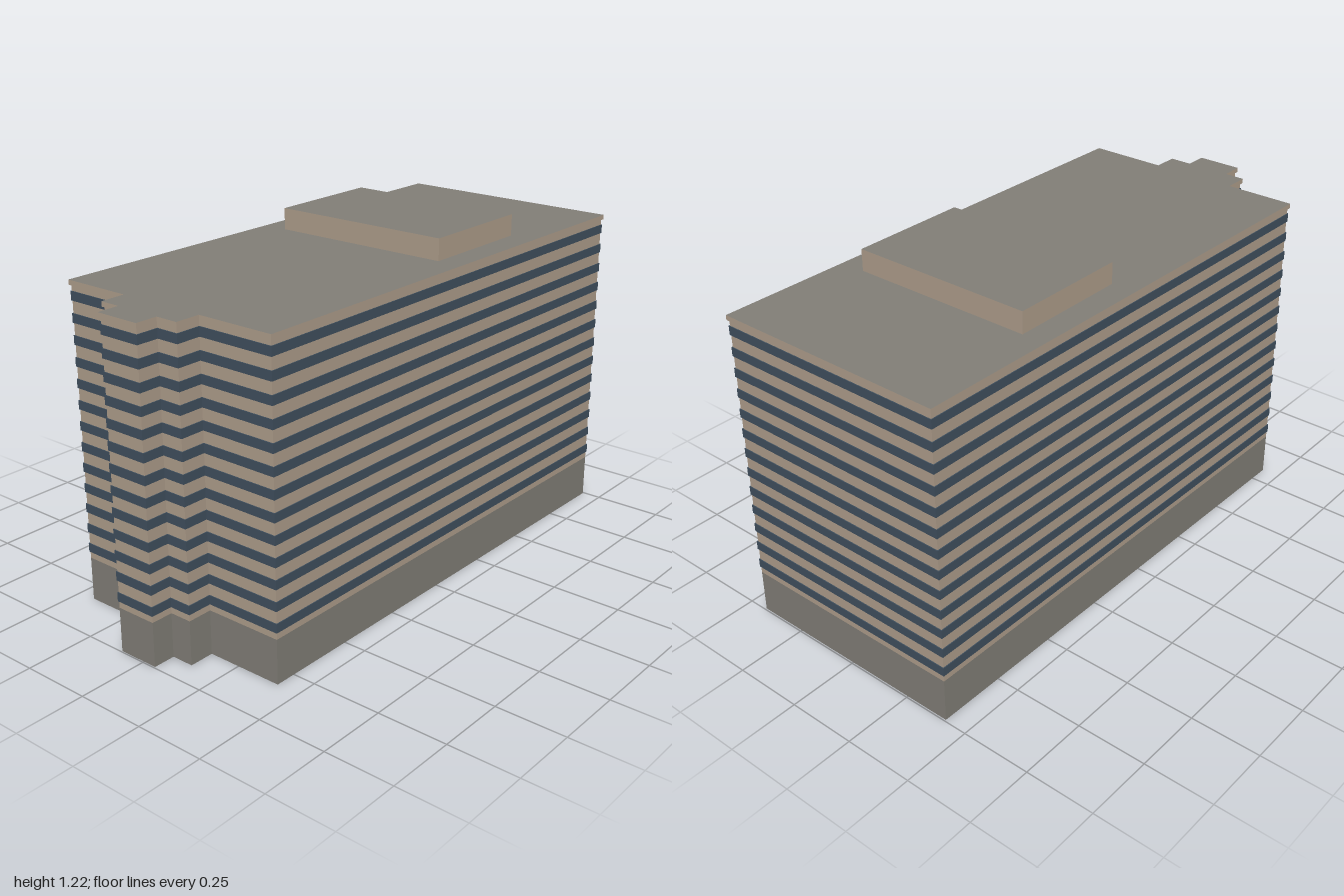
import * as THREE from 'three';

const stone = new THREE.MeshStandardMaterial({ color: 0xb09f8c });
stone.name = 'tan stone';
const concrete = new THREE.MeshStandardMaterial({ color: 0x827f78 });
concrete.name = 'grey concrete';
const glass = new THREE.MeshStandardMaterial({ color: 0x40505f });
glass.name = 'blue glass';

// Wall footprint as [x, z], slightly skewed, with a stepped bay at the front
const footprint = [
  [-0.432, 0.825], [-0.175, 0.825], [-0.175, 0.915], [-0.101, 0.915],
  [-0.101, 0.995], [0.05, 0.995], [0.051, 0.915], [0.132, 0.915],
  [0.133, 0.825], [0.416, 0.825], [0.43, -0.994], [-0.415, -0.994],
].map(([x, z]) => new THREE.Vector2(x, -z));

// Push every edge outwards; the corners are all close to right angles
function outset(points, distance) {
  const normal = (a, b) => new THREE.Vector2(b.y - a.y, a.x - b.x).normalize();
  return points.map((p, i) => {
    const before = points[(i + points.length - 1) % points.length];
    const after = points[(i + 1) % points.length];
    return p.clone()
      .addScaledVector(normal(before, p), distance)
      .addScaledVector(normal(p, after), distance);
  });
}

// A level slab of the footprint between two heights
function storey(name, bottom, top, distance, materials) {
  const geometry = new THREE.ExtrudeGeometry(
    new THREE.Shape(outset(footprint, distance)),
    { depth: top - bottom, bevelEnabled: false });
  geometry.rotateX(-Math.PI / 2);
  geometry.translate(0, bottom, 0);
  const mesh = new THREE.Mesh(geometry, materials);
  mesh.name = name;
  return mesh;
}

export function createModel() {
  const model = new THREE.Group();
  model.name = 'officeBlock';

  // Podium and tower walls
  model.add(storey('podium', 0, 0.158, 0, concrete));
  model.add(storey('walls', 0.158, 1.125, 0, stone));

  // Thirteen window bands
  const windows = new THREE.Group();
  windows.name = 'windowBands';
  for (let i = 0; i < 13; i++) {
    const y = 0.182 + i * 0.0741;
    windows.add(storey('windowBand', y, y + 0.032, 0.003, glass));
  }
  model.add(windows);

  // Roof slab with a grey top and tan edge
  model.add(storey('roofSlab', 1.123, 1.14, 0.006, [concrete, stone]));

  // Rooftop plant room with a grey top
  const plantRoom = new THREE.Mesh(
    new THREE.BoxGeometry(0.676, 0.077, 0.436),
    [stone, stone, concrete, stone, stone, stone]);
  plantRoom.name = 'plantRoom';
  plantRoom.position.set(0, 1.1785, -0.302);
  model.add(plantRoom);

  return model;
}
